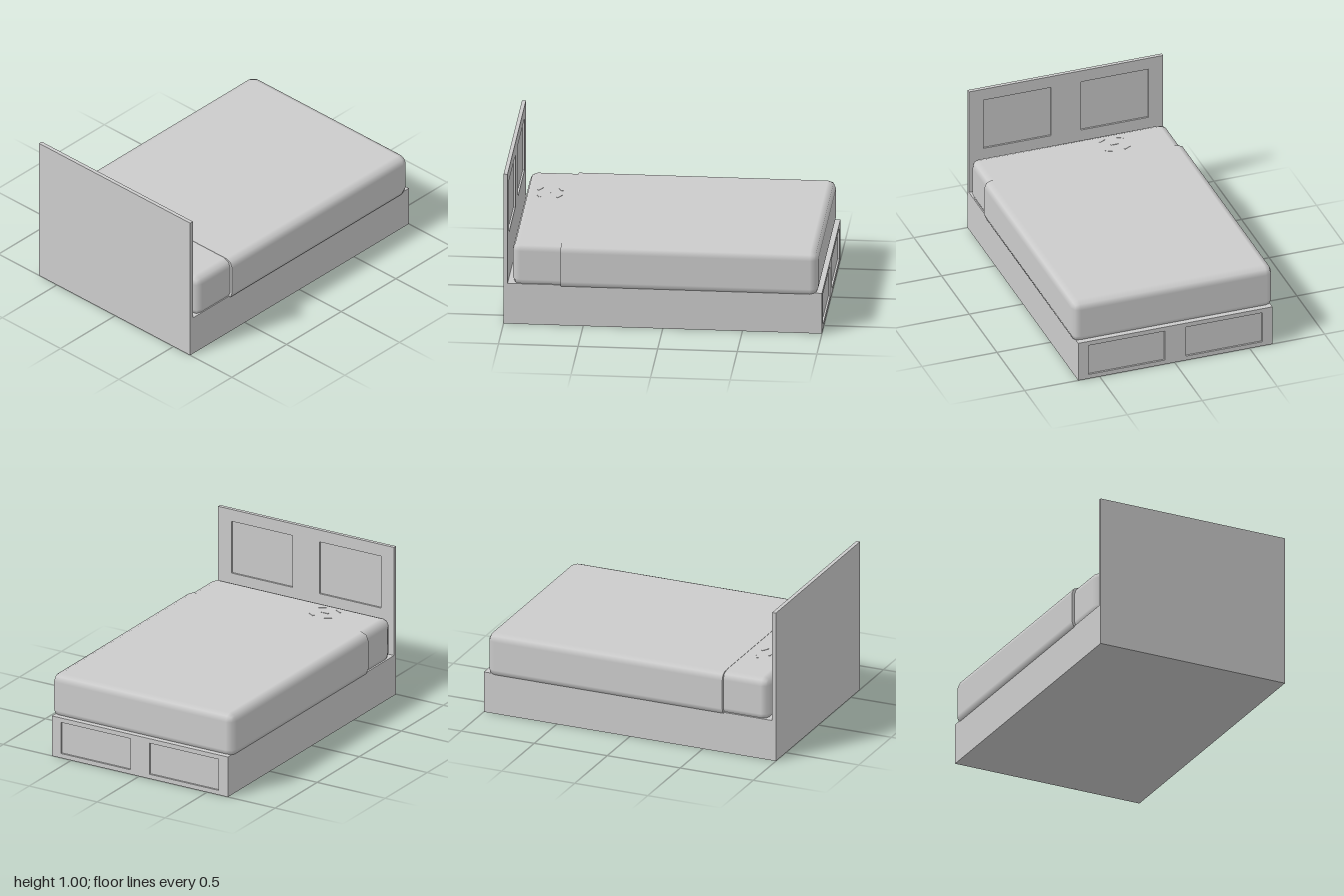
import * as THREE from 'three';

const material = new THREE.MeshStandardMaterial({ color: 0xcccccc });

function add(group, name, geometry, x = 0, y = 0, z = 0) {
  const mesh = new THREE.Mesh(geometry, material);
  mesh.name = name;
  mesh.position.set(x, y, z);
  group.add(mesh);
  return mesh;
}

// Box with two-step rounded edges; flatFront leaves the +z end cut square.
function softBox(w, h, d, r, flatFront = false) {
  const geo = new THREE.BoxGeometry(1, 1, 1, 3, 3, 3);
  const pos = geo.attributes.position, nor = geo.attributes.normal;
  const half = [w / 2, h / 2, d / 2];
  const n = new THREE.Vector3();
  const edge = (c) => (Math.abs(c) > 0.3 ? Math.sign(c) : 0);
  for (let i = 0; i < pos.count; i++) {
    const p = [pos.getX(i), pos.getY(i), pos.getZ(i)];
    const atFront = flatFront && p[2] > 0.3;
    n.set(edge(p[0]), edge(p[1]), atFront ? 0 : edge(p[2])).normalize();
    const core = p.map((c, k) => Math.sign(c) * (half[k] - r));
    if (atFront) core[2] = half[2];
    pos.setXYZ(i, core[0] + n.x * r, core[1] + n.y * r, core[2] + n.z * r);
    if (!(atFront && nor.getZ(i) > 0.5)) nor.setXYZ(i, n.x, n.y, n.z);
  }
  return geo;
}

// Upright board with rectangular openings [x0, x1, y0, y1]
function framedBoard(w, h, depth, openings) {
  const rect = (path, x0, x1, y0, y1) =>
    path.moveTo(x0, y0).lineTo(x1, y0).lineTo(x1, y1).lineTo(x0, y1).closePath();
  const shape = new THREE.Shape();
  rect(shape, -w / 2, w / 2, 0, h);
  for (const o of openings) {
    const hole = new THREE.Path();
    rect(hole, ...o);
    shape.holes.push(hole);
  }
  return new THREE.ExtrudeGeometry(shape, { depth, bevelEnabled: false });
}

export function createModel() {
  const bed = new THREE.Group();
  bed.name = 'bed';
  const W = 1.295, cx = -0.005, baseH = 0.27, recess = 0.012;

  // Base, with a framed panel at the foot end
  add(bed, 'base', new THREE.BoxGeometry(W, baseH, 1.975 - recess), cx, baseH / 2, (0.975 - 1 + recess) / 2);
  add(bed, 'footPanelFrame', framedBoard(W, baseH, recess,
    [[-0.58, -0.07, 0.03, 0.24], [0.07, 0.58, 0.03, 0.24]]), cx, 0, -1);

  // Headboard, with two sunken panels facing the mattress
  add(bed, 'headboard', new THREE.BoxGeometry(W, 1, 0.025 - recess), cx, 0.5, 1 - (0.025 - recess) / 2);
  add(bed, 'headboardFrame', framedBoard(W, 1, recess,
    [[-0.55, -0.1, 0.57, 0.92], [0.1, 0.55, 0.57, 0.92]]), cx, 0, 0.975);

  // Mattress, and the slightly wider cover over its lower part
  add(bed, 'mattress', softBox(1.3, 0.288, 1.9, 0.05), -0.003, 0.394, -0.005);
  add(bed, 'cover', softBox(1.336, 0.29, 1.615, 0.05, true), -0.003, 0.395, -0.1675);

  // Small raised tufts near the head of the mattress
  const tuft = new THREE.BoxGeometry(0.05, 0.004, 0.012);
  for (const [x, z] of [[0, 0], [0.06, 0.065], [-0.06, 0.065], [0.06, -0.065], [-0.06, -0.065]]) {
    const mesh = add(bed, 'tuft', tuft, -0.26 + x, 0.5385, 0.79 + z);
    mesh.rotation.y = Math.sign(x * z) * 0.5;
  }
  return bed;
}
